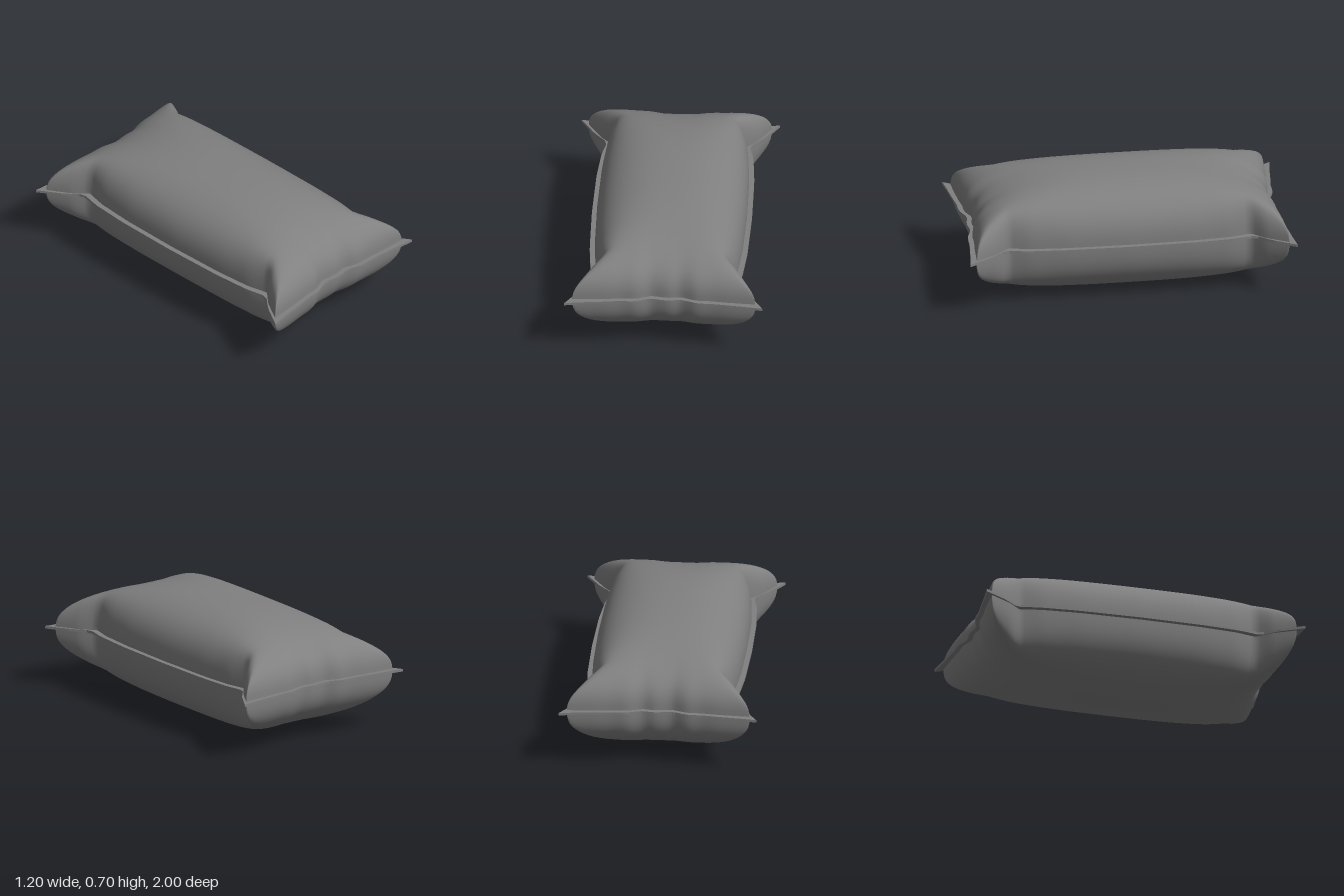
import * as THREE from 'three';

const SEAM_Y = 0.37;   // height of the seam
const HALF_WIDTH = 0.455;

// [position along the edge 0..1, half extent] of the stuffed body
const sideKnots = [[0, 0.455], [0.4, 0.448], [0.64, 0.43], [0.72, 0.412], [0.775, 0.4], [0.86, 0.475], [0.92, 0.51], [1, 0.555]];
const endKnots = [[0, 0.9], [0.2, 0.905], [0.4, 0.925], [0.6, 0.935], [1, 0.955]];

function sample(knots, t) {
  t = Math.min(Math.abs(t), 1);
  const i = Math.max(1, knots.findIndex(k => k[0] >= t));
  const [a, b] = [knots[i - 1], knots[i]];
  return a[1] + (b[1] - a[1]) * (t - a[0]) / (b[0] - a[0]);
}

// Maps the unit square (u across, v along) to the pillow plan, pinched beside the corners
function plan(u, v, margin = 0) {
  const pinch = (sample(sideKnots, v) - HALF_WIDTH) * Math.abs(u) ** 4;
  const ripple = 0.008 * Math.sin(15 * u + 1) * (1 - u * u) ** 3 * Math.abs(v) ** 8;
  const grow = margin * (1 + 0.5 * Math.abs(u * v) ** 8);
  return [
    u * (HALF_WIDTH + pinch + grow),
    v * (sample(endKnots, u) + ripple + grow)
  ];
}

// Puffed height over the plan: the lower of two arches, blended softly along the corner ridges
function puff(u, v) {
  const across = Math.max(1e-6, 1 - Math.abs(u) ** 2.5) ** 0.4;
  const along = Math.max(1e-6, 1 - Math.abs(v) ** 2.7) ** 0.37;
  return (across ** -7 + along ** -7 - 1) ** (-1 / 7);
}

// One half of the cushion; dir is +1 for the top and -1 for the underside
function cushionHalf(dir, height) {
  const geo = new THREE.PlaneGeometry(2, 2, 64, 64);
  const p = geo.attributes.position;
  for (let i = 0; i < p.count; i++) {
    const u = Math.sin(p.getX(i) * Math.PI / 2);
    const v = -dir * Math.sin(p.getY(i) * Math.PI / 2);
    const [x, z] = plan(u, v);
    p.setXYZ(i, x, SEAM_Y + dir * height * puff(u, v), z);
  }
  geo.computeVertexNormals();
  return geo;
}

// Closed outline around the pillow at a given margin outside the body
function outline(margin) {
  const pts = [];
  const n = 48;
  const edges = [t => [t, 1], t => [1, -t], t => [-t, -1], t => [-1, t]];
  for (const edge of edges) {
    for (let i = 0; i < n; i++) {
      const [u, v] = edge(-1 + 2 * i / n);
      const [x, z] = plan(u, v, margin);
      pts.push(new THREE.Vector2(x, -z));
    }
  }
  return pts;
}

export function createModel() {
  const group = new THREE.Group();
  const material = new THREE.MeshStandardMaterial({ color: 0x808080, side: THREE.DoubleSide });
  const add = (name, geo) => {
    const mesh = new THREE.Mesh(geo, material);
    mesh.name = name;
    group.add(mesh);
  };

  add('cushionTop', cushionHalf(1, 0.33));
  add('cushionUnderside', cushionHalf(-1, 0.37));

  // Flat flange sewn round the seam
  const shape = new THREE.Shape(outline(0.03));
  shape.holes.push(new THREE.Path(outline(-0.008)));
  const flange = new THREE.ExtrudeGeometry(shape, { depth: 0.016, bevelEnabled: false });
  flange.rotateX(-Math.PI / 2);
  flange.translate(0, SEAM_Y - 0.008, 0);
  add('seamFlange', flange);

  return group;
}
